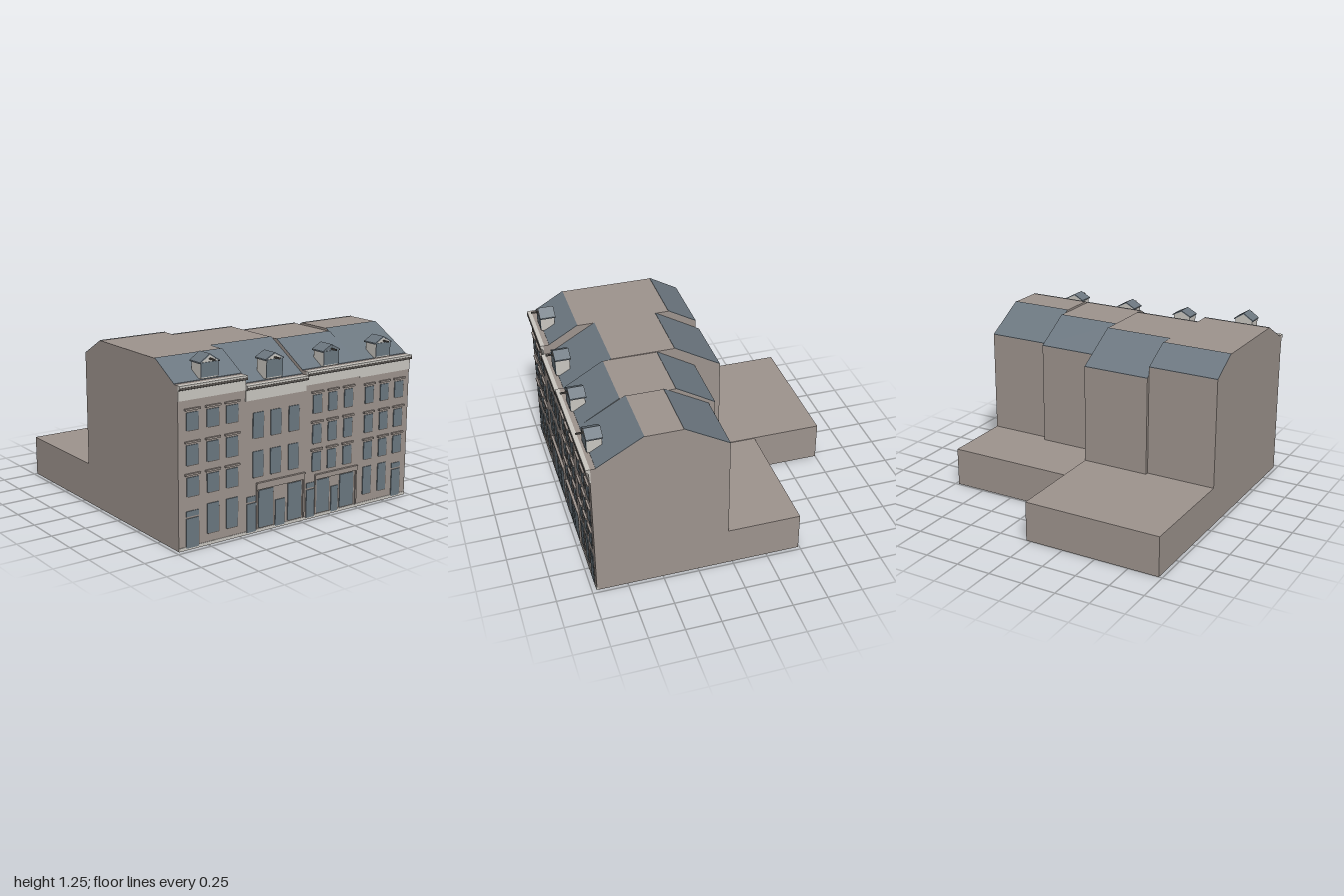
import * as THREE from 'three';

const mat = (name, color) => {
  const m = new THREE.MeshStandardMaterial({ color });
  m.name = name;
  return m;
};

export function createModel() {
  const model = new THREE.Group();
  model.name = 'terraceOfHouses';
  const wall = mat('taupeWall', 0x9e948e);
  const trim = mat('paleTrim', 0xcac7c1);
  const slate = mat('slateRoof', 0x6c7780);
  const glass = mat('blueGreyGlass', 0x6b7881);
  const dark = mat('darkReveal', 0x57534f);
  const FRONT = 0.965;

  const add = (parent, name, geo, m) => {
    const mesh = new THREE.Mesh(geo, m);
    mesh.name = name;
    parent.add(mesh);
    return mesh;
  };
  // Box given by its extents
  const block = (parent, name, m, x0, x1, y0, y1, z0, z1) => {
    const mesh = add(parent, name, new THREE.BoxGeometry(x1 - x0, y1 - y0, z1 - z0), m);
    mesh.position.set((x0 + x1) / 2, (y0 + y1) / 2, (z0 + z1) / 2);
    return mesh;
  };
  const shapeOf = (pts) => new THREE.Shape(pts.map(([a, b]) => new THREE.Vector2(a, b)));
  // Side profile of (z, y) points swept from x0 to x1
  const sweep = (parent, name, m, pts, x0, x1) => {
    const geo = new THREE.ExtrudeGeometry(shapeOf(pts), { depth: x1 - x0, bevelEnabled: false });
    geo.rotateY(-Math.PI / 2).translate(x1, 0, 0);
    return add(parent, name, geo, m);
  };
  // Front outline of (x, y) points swept from z0 to z1
  const extrudeZ = (parent, name, m, pts, z0, z1) => {
    const geo = new THREE.ExtrudeGeometry(shapeOf(pts), { depth: z1 - z0, bevelEnabled: false });
    geo.translate(0, 0, z0);
    return add(parent, name, geo, m);
  };

  // Glass pane with a thin dark reveal on its right and lower edge
  const pane = (parent, name, x0, x1, y0, y1) => {
    block(parent, name + 'Reveal', dark, x0 + 0.01, x1 + 0.006, y0 - 0.006, y1 - 0.03, FRONT, FRONT + 0.003);
    block(parent, name, glass, x0, x1, y0, y1, FRONT, FRONT + 0.006);
  };
  const windowWithHood = (parent, x0, x1, y0, y1) => {
    pane(parent, 'window', x0, x1, y0, y1);
    block(parent, 'windowHood', wall, x0 - 0.012, x1 + 0.012, y1 + 0.014, y1 + 0.026, FRONT, FRONT + 0.014);
  };
  const doorWithTransom = (parent, x0, x1) => {
    pane(parent, 'door', x0, x1, 0.012, 0.21);
    block(parent, 'transom', glass, x0, x1, 0.222, 0.258, FRONT, FRONT + 0.005);
  };

  // Dormer with a gabled roof and a hoist beam
  const dormer = (parent, x, y0, y1, peak, gable) => {
    const g = new THREE.Group();
    g.name = 'dormer';
    parent.add(g);
    const w = 0.066, r = 0.076, drop = 0.008, t = 0.009;
    extrudeZ(g, 'dormerBody', trim,
      [[x - w, y0 - 0.01], [x + w, y0 - 0.01], [x + w, y1], [x, peak - t], [x - w, y1]], 0.84, 0.94);
    extrudeZ(g, 'dormerGable', gable, [[x - w, y1], [x + w, y1], [x, peak - t]], 0.94, 0.944);
    extrudeZ(g, 'dormerRoof', slate,
      [[x - r, y1 - drop], [x, peak - t], [x + r, y1 - drop], [x + r, y1 - drop + t], [x, peak], [x - r, y1 - drop + t]],
      0.832, 0.945);
    block(g, 'dormerWindow', glass, x - w, x + w, y0, y1 - 0.002, 0.94, 0.945);
    block(g, 'hoistBeam', dark, x - 0.005, x + 0.005, peak - 0.037, peak - 0.027, 0.93, 0.995);
  };

  const houses = [
    { x: [-0.975, -0.461], eave: 1.08, top: 1.205, ridge: [0.71, 0.03], back: -0.18, backEave: 1.085, end: -1, annex: 0.29,
      frieze: 0.98, cols: [[-0.915, -0.825], [-0.76, -0.67], [-0.61, -0.52]],
      rows: [[0.785, 0.9], [0.56, 0.69], [0.355, 0.48]], ground: [1, 2], doors: [[-0.92, -0.825]],
      dormer: [-0.72, 1.10, 1.195, 1.245, trim] },
    { x: [-0.461, 0.038], eave: 1.01, top: 1.205, ridge: [0.585, 0.13], back: -0.205, backEave: 1.01, end: -1, annex: 0.29,
      frieze: 0.905, cols: [[-0.4, -0.315], [-0.255, -0.17], [-0.105, -0.02]],
      rows: [[0.65, 0.82], [0.385, 0.56]], plain: true, ground: [], doors: [[-0.445, -0.37]],
      shop: { x: [-0.37, 0.036], y: [0.295, 0.34], panes: [[-0.35, -0.23, 0.03, 0.288], [-0.21, -0.13, 0.012, 0.195], [-0.105, 0.01, 0.03, 0.288]] },
      dormer: [-0.21, 1.03, 1.15, 1.19, trim] },
    { x: [0.038, 0.508], eave: 1.035, top: 1.2, ridge: [0.645, 0.26], back: -0.015, backEave: 1.035, end: -0.49, annex: 0.285,
      frieze: 0.94, cols: [[0.1, 0.175], [0.235, 0.31], [0.375, 0.45]],
      rows: [[0.74, 0.865], [0.53, 0.66], [0.335, 0.465]], ground: [], doors: [[0.055, 0.125]],
      shop: { x: [0.128, 0.506], y: [0.272, 0.305], panes: [[0.14, 0.255, 0.03, 0.265], [0.275, 0.335, 0.012, 0.195], [0.352, 0.475, 0.03, 0.265]] },
      dormer: [0.27, 1.05, 1.145, 1.187, slate] },
    { x: [0.508, 0.975], eave: 1.035, top: 1.215, ridge: [0.605, 0.345], back: 0.032, backEave: 1.035, end: -0.49, annex: 0.285,
      frieze: 0.93, cols: [[0.565, 0.64], [0.705, 0.78], [0.84, 0.92]],
      rows: [[0.74, 0.855], [0.53, 0.655], [0.335, 0.46]], ground: [0, 1], doors: [[0.84, 0.92]],
      dormer: [0.74, 1.05, 1.145, 1.187, trim] },
  ];

  houses.forEach((h, i) => {
    const g = new THREE.Group();
    g.name = 'house' + (i + 1);
    model.add(g);
    const [x0, x1] = h.x, e = h.eave, [rf, rb] = h.ridge;

    // Main block with its rear annex
    sweep(g, 'body', wall, [[FRONT, 0], [FRONT, e], [0.925, e], [rf, h.top], [rb, h.top],
      [h.back, h.backEave], [h.back, h.annex], [h.end, h.annex], [h.end, 0]], x0, x1);
    // Slate slopes
    const s = 0.004;
    sweep(g, 'frontRoof', slate, [[0.925, e], [0.925, e + s], [rf, h.top + s], [rf, h.top]], x0, x1);
    sweep(g, 'backRoof', slate, [[rb, h.top], [rb, h.top + s], [h.back, h.backEave + s], [h.back, h.backEave]], x0, x1);
    // Frieze and moulded cornice
    sweep(g, 'cornice', trim, [[0.96, h.frieze], [0.971, h.frieze], [0.971, e - 0.035], [0.99, e - 0.018],
      [0.99, e], [0.96, e + 0.001]], x0, x1);
    block(g, 'corniceShadowLine', dark, x0, x1, e - 0.028, e - 0.013, 0.985, 0.992);
    block(g, 'plinth', trim, x0, x1, 0, 0.022, FRONT - 0.01, FRONT + 0.004);

    // Upper windows, ground windows and doors
    for (const [a, b] of h.cols) for (const [c, d] of h.rows) {
      if (h.plain) pane(g, 'window', a, b, c, d);
      else windowWithHood(g, a, b, c, d);
    }
    for (const k of h.ground) pane(g, 'groundWindow', h.cols[k][0], h.cols[k][1], 0.08, 0.28);
    for (const [a, b] of h.doors) doorWithTransom(g, a, b);

    // Shopfront with fascia and end pilasters
    if (h.shop) {
      const [a, b] = h.shop.x, [c, d] = h.shop.y;
      block(g, 'shopFascia', wall, a, b, c, d, FRONT, FRONT + 0.012);
      block(g, 'shopFasciaCap', wall, a, b, d - 0.006, d + 0.003, FRONT, FRONT + 0.018);
      for (const p of [a, b - 0.012]) block(g, 'shopPilaster', wall, p, p + 0.012, 0.022, c, FRONT, FRONT + 0.01);
      for (const p of h.shop.panes) pane(g, 'shopPane', ...p);
    }
    dormer(g, ...h.dormer);
  });
  return model;
}
